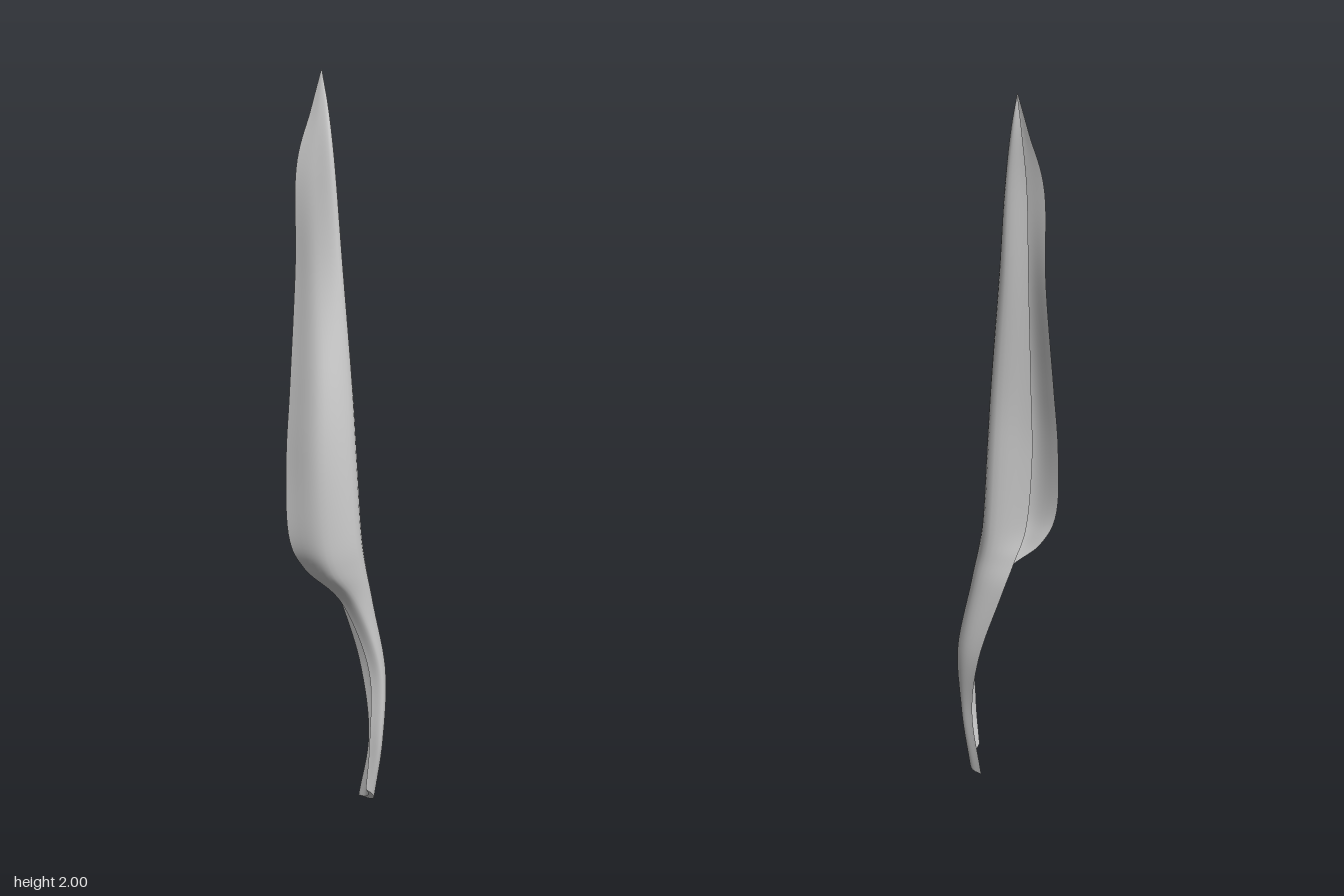
import * as THREE from 'three';

// Cross-sections from tip to foot: y, then five (x, z) points running
// left edge, left wall, keel, right wall, right edge.
const SECTIONS = [
  [2.0, 0.031, -0.066, 0.031, -0.065, 0.032, -0.064, 0.033, -0.065, 0.033, -0.066],
  [1.9, 0.012, -0.085, 0.018, -0.06, 0.03, -0.043, 0.046, -0.06, 0.035, -0.085],
  [1.75, -0.018, -0.11, -0.003, -0.06, 0.018, -0.016, 0.05, -0.045, 0.022, -0.09],
  [1.5, -0.03, -0.105, -0.027, -0.04, 0.012, 0.013, 0.05, -0.03, 0.015, -0.09],
  [1.2, -0.075, -0.09, -0.07, 0, 0, 0.05, 0.05, 0, 0, -0.085],
  [1.0, -0.1, -0.085, -0.09, 0.015, -0.01, 0.07, 0.056, 0.01, -0.01, -0.08],
  [0.8, -0.112, -0.07, -0.09, 0.03, -0.01, 0.085, 0.06, 0.02, 0, -0.07],
  [0.7, -0.08, -0.04, -0.07, 0.045, 0.01, 0.09, 0.066, 0.03, 0.035, -0.06],
  [0.6, -0.015, 0.035, -0.005, 0.08, 0.04, 0.093, 0.083, 0.045, 0.07, -0.045],
  [0.4, 0.045, 0.08, 0.06, 0.11, 0.1, 0.095, 0.113, 0.06, 0.105, 0.005],
  [0.2, 0.043, 0.085, 0.055, 0.112, 0.085, 0.1, 0.1, 0.08, 0.095, 0.045],
  [0.03, 0.04, 0.075, 0.055, 0.085, 0.075, 0.078, 0.09, 0.055, 0.09, 0.015],
].reverse();
const ROWS = 88, COLS = 24;

// Grid of points -> indexed surface with smooth normals
function surface(name, rows, flip, material) {
  const n = rows[0].length, index = [];
  for (let r = 0; r < rows.length - 1; r++) {
    for (let c = 0; c < n - 1; c++) {
      const a = r * n + c, b = a + 1, d = a + n, e = d + 1;
      if (flip) index.push(a, e, b, a, d, e);
      else index.push(a, b, e, a, e, d);
    }
  }
  const geometry = new THREE.BufferGeometry().setFromPoints(rows.flat());
  geometry.setIndex(index);
  geometry.computeVertexNormals();
  const mesh = new THREE.Mesh(geometry, material);
  mesh.name = name;
  return mesh;
}

export function createModel() {
  const group = new THREE.Group();
  group.name = 'leaf';
  const material = new THREE.MeshStandardMaterial({ color: 0xcccccc, side: THREE.DoubleSide });

  // Five lengthwise ribs through the section points
  const ribs = [0, 1, 2, 3, 4].map((i) => new THREE.CatmullRomCurve3(
    SECTIONS.map((s) => new THREE.Vector3(s[1 + 2 * i], s[0], s[2 + 2 * i])), false, 'catmullrom', 0.5));

  const outer = [], inner = [];
  for (let r = 0; r <= ROWS; r++) {
    const points = ribs.map((rib) => rib.getPoint(r / ROWS));
    const row = new THREE.CatmullRomCurve3(points).getPoints(COLS);
    const y = points[2].y;
    // The stalk is thicker for its depth than the folded blade
    const fill = THREE.MathUtils.lerp(0.5, 0.18, THREE.MathUtils.smoothstep(y, 0.45, 0.8));
    const slant = 1.2 * Math.max(0, 1 - y / 0.2);
    const innerRow = row.map((p, c) => {
      const chord = points[0].clone().lerp(points[4], c / COLS);
      return p.clone().lerp(chord, fill);
    });
    // Slanted cut at the foot
    for (const p of [...row, ...innerRow]) p.y = Math.max(0, p.y + slant * (0.065 - p.x));
    outer.push(row);
    inner.push(innerRow);
  }

  group.add(
    surface('outerBlade', outer, false, material),
    surface('innerChannel', inner, true, material),
    surface('stalkCut', [inner[0], outer[0]], false, material),
  );
  return group;
}
